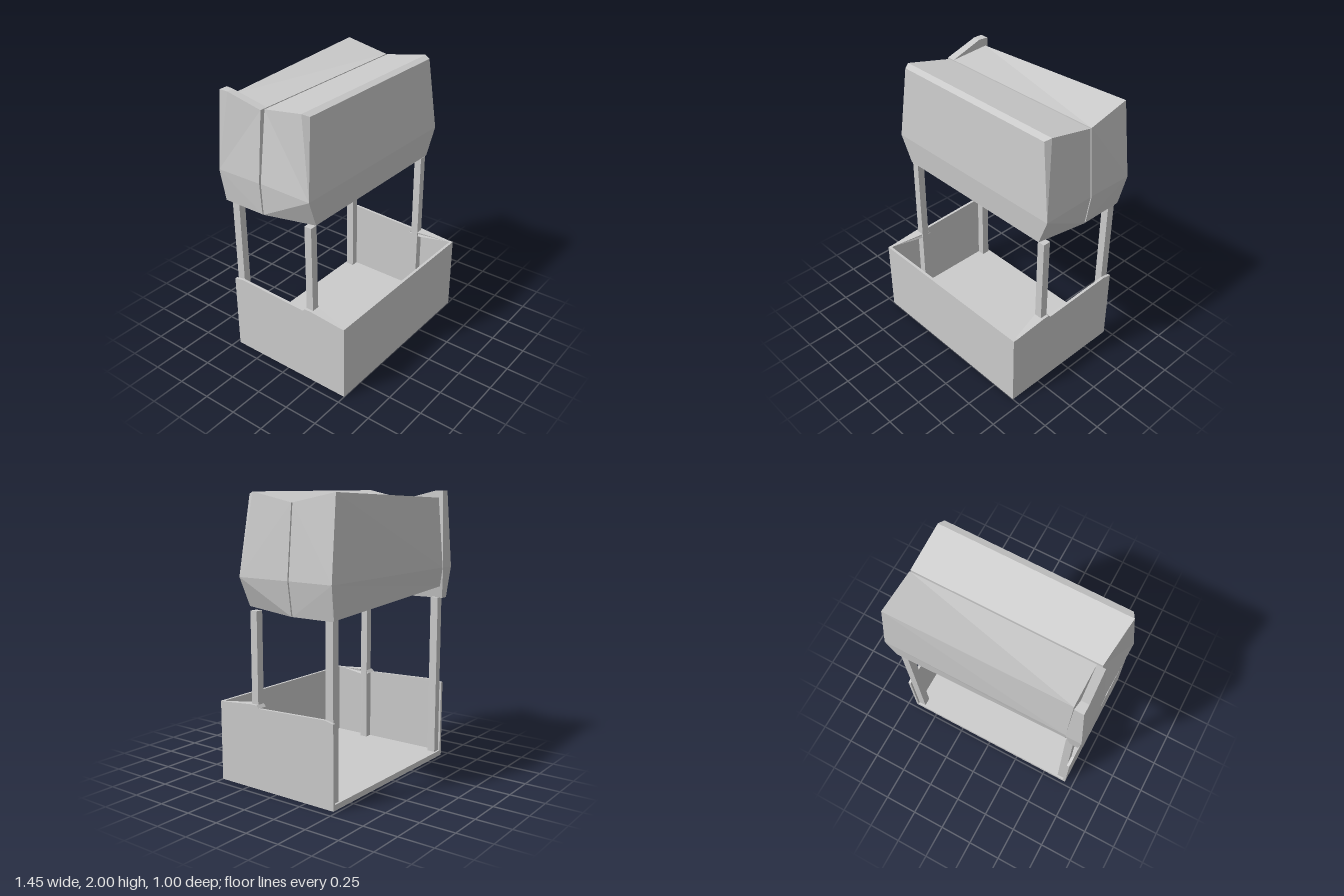
import * as THREE from 'three';

const material = new THREE.MeshStandardMaterial({ color: 0xcccccc, flatShading: true, side: THREE.DoubleSide });

function add(group, name, geometry, x = 0, y = 0, z = 0) {
  const mesh = new THREE.Mesh(geometry, material);
  mesh.name = name;
  mesh.position.set(x, y, z);
  group.add(mesh);
  return mesh;
}

function box(group, name, x0, x1, y0, y1, z0, z1) {
  return add(group, name, new THREE.BoxGeometry(x1 - x0, y1 - y0, z1 - z0),
    (x0 + x1) / 2, (y0 + y1) / 2, (z0 + z1) / 2);
}

// Closed block spanned across x: each row is [left xyz, right xyz],
// running front -> down -> back -> up around the side profile.
function block(rows) {
  const pos = [];
  const tri = (...points) => points.forEach((p) => pos.push(...p));
  const n = rows.length;
  for (let i = 0; i < n; i++) {
    const [l0, r0] = rows[i];
    const [l1, r1] = rows[(i + 1) % n];
    tri(l0, l1, r1);
    tri(l0, r1, r0);
    if (i > 0 && i < n - 1) {
      tri(rows[0][1], r0, r1);
      tri(rows[0][0], l1, l0);
    }
  }
  const geometry = new THREE.BufferGeometry();
  geometry.setAttribute('position', new THREE.Float32BufferAttribute(pos, 3));
  geometry.computeVertexNormals();
  return geometry;
}

// Row with the same height and depth at both ends
const row = (y, z, xl, xr) => [[xl, y, z], [xr, y, z]];

export function createModel() {
  const model = new THREE.Group();
  model.name = 'marketStall';

  // Counter: floor and front wall, open at the back
  box(model, 'floor', -0.685, 0.685, 0, 0.04, -0.475, 0.5);
  box(model, 'frontWall', -0.685, 0.685, 0, 0.57, 0.48, 0.5);

  for (const side of [-1, 1]) {
    const label = side < 0 ? 'right' : 'left';
    box(model, label + 'Wall', Math.min(side * 0.685, side * 0.665), Math.max(side * 0.685, side * 0.665),
      0, 0.57, -0.475, 0.5);

    // Posts run from the floor to the canopy
    for (const [name, z0, z1] of [['FrontPost', 0.17, 0.225], ['BackPost', -0.46, -0.4]]) {
      box(model, label + name, Math.min(side * 0.61, side * 0.665), Math.max(side * 0.61, side * 0.665),
        0.03, 1.225, z0, z1);
    }

    // Sloping fillets between the wall top and the front post
    const a = side * 0.685, b = side * 0.61, c = side * 0.665;
    const fillet = [
      [[a, 0.57, 0.46], [c, 0.57, 0.46]],
      [[a, 0.55, 0.2], [b, 0.55, 0.2]],
      [[a, 0.57, 0.15], [b, 0.57, 0.15]],
      [[a, 0.59, 0.17], [b, 0.59, 0.17]],
      [[a, 0.59, 0.225], [b, 0.59, 0.225]],
    ];
    add(model, label + 'WallFillet', block(side < 0 ? fillet : fillet.map(([l, r]) => [r, l])));

    // Wall cap rising slightly to the back post
    const cap = [row(0.57, 0.15, a, c), row(0.565, -0.475, a, c), row(0.575, -0.475, a, c), row(0.59, -0.4, a, c)];
    add(model, label + 'WallCap', block(side < 0 ? cap : cap.map(([l, r]) => [r, l])));
  }

  // Front half of the bulging canopy
  add(model, 'frontCanopy', block([
    row(1.45, 0.265, -0.725, 0.72),
    row(1.25, 0.25, -0.645, 0.64),
    row(1.22, -0.14, -0.705, 0.68),
    row(1.45, -0.14, -0.715, 0.715),
    row(1.935, -0.14, -0.645, 0.67),
    row(2.0, 0.19, -0.685, 0.66),
    row(1.985, 0.235, -0.66, 0.64),
  ]));

  // Back half, twisted towards its right end
  add(model, 'backCanopy', block([
    row(1.45, -0.495, -0.61, 0.725),
    [[-0.61, 1.95, -0.45], [0.66, 2.0, -0.478]],
    row(1.935, -0.15, -0.61, 0.67),
    row(1.45, -0.15, -0.61, 0.715),
    [[-0.61, 1.27, -0.15], [0.68, 1.22, -0.15]],
    [[-0.61, 1.27, -0.27], [0.68, 1.22, -0.47]],
    [[-0.61, 1.31, -0.475], [0.68, 1.225, -0.478]],
  ]));

  // Raised end panel closing the back half
  add(model, 'canopyEndPanel', block([
    row(1.45, -0.5, -0.725, -0.61),
    row(2.0, -0.478, -0.685, -0.62),
    row(2.0, -0.41, -0.685, -0.63),
    row(1.935, -0.15, -0.67, -0.61),
    row(1.45, -0.15, -0.72, -0.61),
    row(1.22, -0.15, -0.705, -0.62),
    row(1.22, -0.475, -0.705, -0.645),
  ]));

  return model;
}
